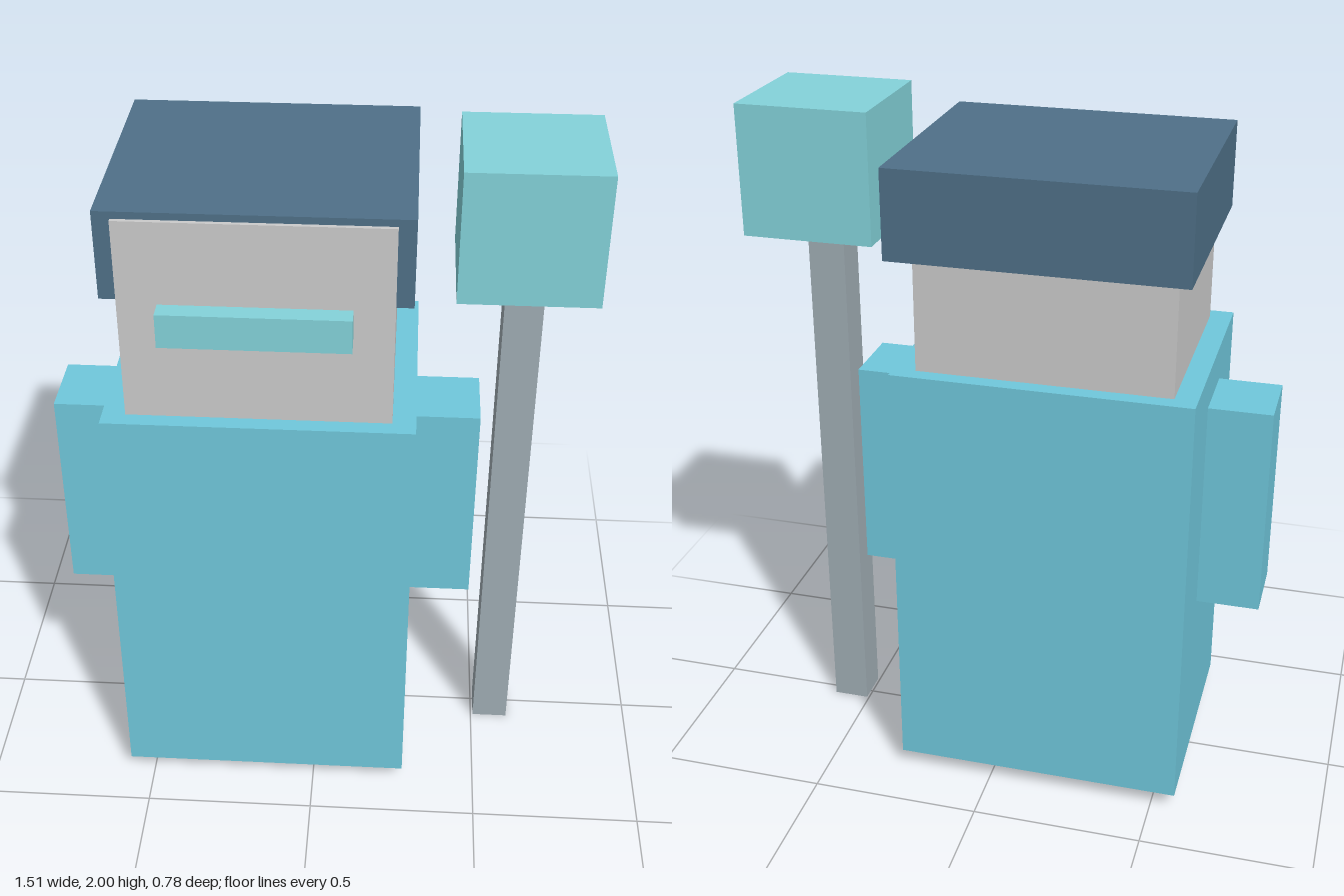
import * as THREE from 'three';

const COLORS = {
  robe: 0x70c8dc,
  skin: 0xd3d7d5,
  hair: 0x4f7088,
  glow: 0x84d3da,
  staff: 0xa0adb4,
};

export function createModel() {
  const model = new THREE.Group();
  model.name = 'blockFigure';

  const materials = {};
  for (const key in COLORS) {
    materials[key] = new THREE.MeshStandardMaterial({ color: COLORS[key] });
  }

  // Adds a box spanning [min, max] on each axis
  function addBox(parent, name, material, [x0, x1], [y0, y1], [z0, z1]) {
    const mesh = new THREE.Mesh(
      new THREE.BoxGeometry(x1 - x0, y1 - y0, z1 - z0), materials[material]);
    mesh.position.set((x0 + x1) / 2, (y0 + y1) / 2, (z0 + z1) / 2);
    mesh.name = name;
    parent.add(mesh);
  }

  // Figure, standing off-centre to make room for the staff
  const figure = new THREE.Group();
  figure.name = 'figure';
  figure.position.set(-0.147, 0, 0.02);
  model.add(figure);

  addBox(figure, 'robe', 'robe', [-0.425, 0.425], [0.05, 1.32], [-0.355, 0.355]);

  // Arms, mirrored
  addBox(figure, 'leftArm', 'robe', [0.395, 0.608], [0.58, 1.21], [-0.106, 0.106]);
  addBox(figure, 'rightArm', 'robe', [-0.608, -0.395], [0.58, 1.21], [-0.106, 0.106]);

  // Head with overhanging cap of hair and a floating visor bar
  addBox(figure, 'head', 'skin', [-0.361, 0.361], [1.32, 1.9], [-0.308, 0.308]);
  addBox(figure, 'hair', 'hair', [-0.408, 0.408], [1.67, 1.92], [-0.41, 0.296]);
  addBox(figure, 'visor', 'glow', [-0.253, 0.253], [1.573, 1.67], [0.317, 0.371]);

  // Staff with its glowing block
  const staff = new THREE.Group();
  staff.name = 'staff';
  staff.position.set(0.561, 0, 0.018);
  model.add(staff);
  addBox(staff, 'staffPole', 'staff', [-0.054, 0.054], [0, 1.64], [-0.054, 0.054]);
  addBox(staff, 'staffBlock', 'glow', [-0.19, 0.19], [1.625, 2], [-0.19, 0.19]);

  return model;
}
